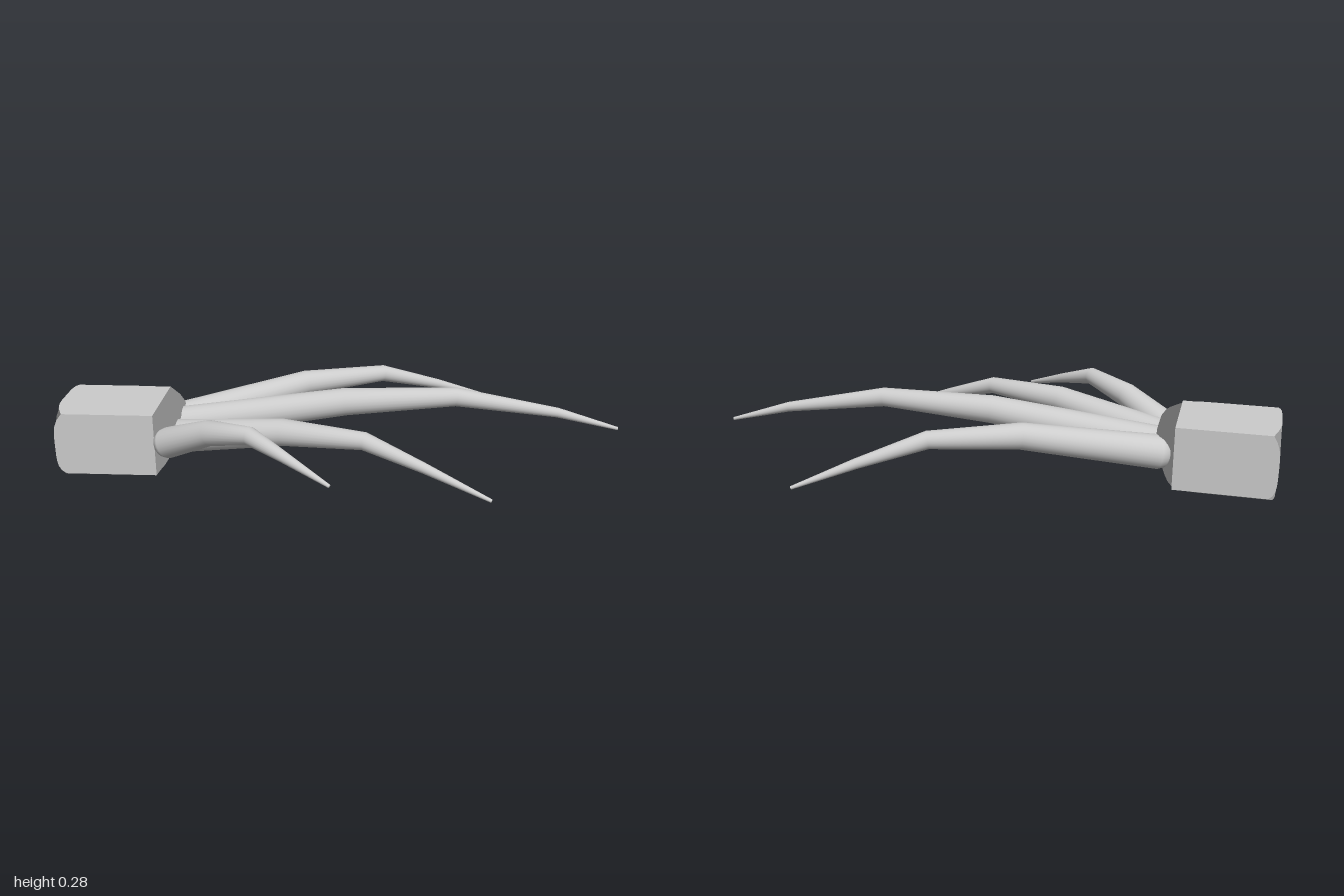
import * as THREE from 'three';

const material = new THREE.MeshStandardMaterial({ color: 0xcccccc });
const SIDES = 24;

// Block with rounded-out sides, a blunt -x end and a fuller, domed +x end.
// The box normals are kept so that each face reads as one plain surface.
function palmBlock() {
  const geo = new THREE.BoxGeometry(2, 2, 2, 12, 12, 12);
  const p = geo.attributes.position;
  const { lerp } = THREE.MathUtils;
  for (let i = 0; i < p.count; i++) {
    const x = p.getX(i), y = p.getY(i), z = p.getZ(i);
    // The sides stay full to the -x end and draw in at the +x end
    const along = x > 0 ? 1 - x ** 6 : 1;
    const swellX = x < 0
      ? 0.025 * (1 - (y * z) ** 4)
      : 0.055 * (1 + y / 2) * (1 - y ** 6) * (1 - z ** 8);
    const swellY = (y > 0 ? 0.015 : 0.018) * (1 - z ** 6) * along;
    const swellZ = 0.022 * (1 - y ** 6) * along;
    p.setXYZ(i,
      lerp(-0.975, -0.655, (x + 1) / 2) + x * swellX,
      lerp(0.02, 0.245, (y + 1) / 2) + y * swellY,
      lerp(-0.108, 0.19, (z + 1) / 2) + z * swellZ);
  }
  return geo;
}

// Tapering limb: round rings around a jointed centre line, closed at both ends
function limb(points, radii) {
  const centres = points.map((q) => new THREE.Vector3(...q));
  const dir = centres[1].clone().sub(centres[0]).normalize();
  const rings = centres.map((c, i) => {
    const a = centres[Math.max(i - 1, 0)];
    const b = centres[Math.min(i + 1, centres.length - 1)];
    return { c, t: b.clone().sub(a).normalize(), r: radii[i] };
  });
  // Domed root
  for (const angle of [0.5, 1, Math.PI / 2]) {
    rings.unshift({
      c: centres[0].clone().addScaledVector(dir, -radii[0] * 0.8 * Math.sin(angle)),
      t: dir, r: radii[0] * Math.cos(angle),
    });
  }
  // Closed tip
  const last = rings[rings.length - 1];
  rings.push({ ...last, r: 0 });

  const pos = [], index = [];
  const up = new THREE.Vector3(0, 1, 0);
  for (const { c, t, r } of rings) {
    const side = new THREE.Vector3().crossVectors(t, up).normalize();
    const top = new THREE.Vector3().crossVectors(side, t);
    for (let j = 0; j < SIDES; j++) {
      const a = (j / SIDES) * Math.PI * 2;
      const v = c.clone().addScaledVector(side, r * Math.cos(a)).addScaledVector(top, r * Math.sin(a));
      pos.push(v.x, v.y, v.z);
    }
  }
  for (let i = 0; i < rings.length - 1; i++) {
    for (let j = 0; j < SIDES; j++) {
      const a = i * SIDES + j, b = i * SIDES + (j + 1) % SIDES;
      index.push(a, a + SIDES, b, b, a + SIDES, b + SIDES);
    }
  }
  const geo = new THREE.BufferGeometry();
  geo.setAttribute('position', new THREE.Float32BufferAttribute(pos, 3));
  geo.setIndex(index);
  geo.computeVertexNormals();
  return geo;
}

export function createModel() {
  const group = new THREE.Group();
  const add = (name, geo) => {
    const mesh = new THREE.Mesh(geo, material);
    mesh.name = name;
    group.add(mesh);
  };

  add('palm', palmBlock());

  // Four fingers fanning out from the +x end
  add('backFinger', limb(
    [[-0.6, 0.14, -0.07], [-0.16, 0.22, -0.25], [0.13, 0.222, -0.37], [0.35, 0.15, -0.46], [0.55, 0.075, -0.54]],
    [0.06, 0.046, 0.031, 0.018, 0.006],
  ));
  add('longFinger', limb(
    [[-0.6, 0.145, 0], [0, 0.228, -0.03], [0.4, 0.247, -0.05], [0.77, 0.185, -0.073], [0.995, 0.122, -0.085]],
    [0.06, 0.05, 0.034, 0.018, 0.006],
  ));
  add('middleFinger', limb(
    [[-0.6, 0.135, 0.1], [-0.2, 0.205, 0.215], [0.08, 0.212, 0.295], [0.28, 0.145, 0.355], [0.5, 0.063, 0.42]],
    [0.06, 0.047, 0.031, 0.018, 0.006],
  ));
  add('shortFinger', limb(
    [[-0.61, 0.14, 0.175], [-0.44, 0.222, 0.275], [-0.29, 0.255, 0.375], [-0.17, 0.215, 0.45], [-0.02, 0.16, 0.54]],
    [0.055, 0.044, 0.031, 0.019, 0.006],
  ));

  return group;
}
